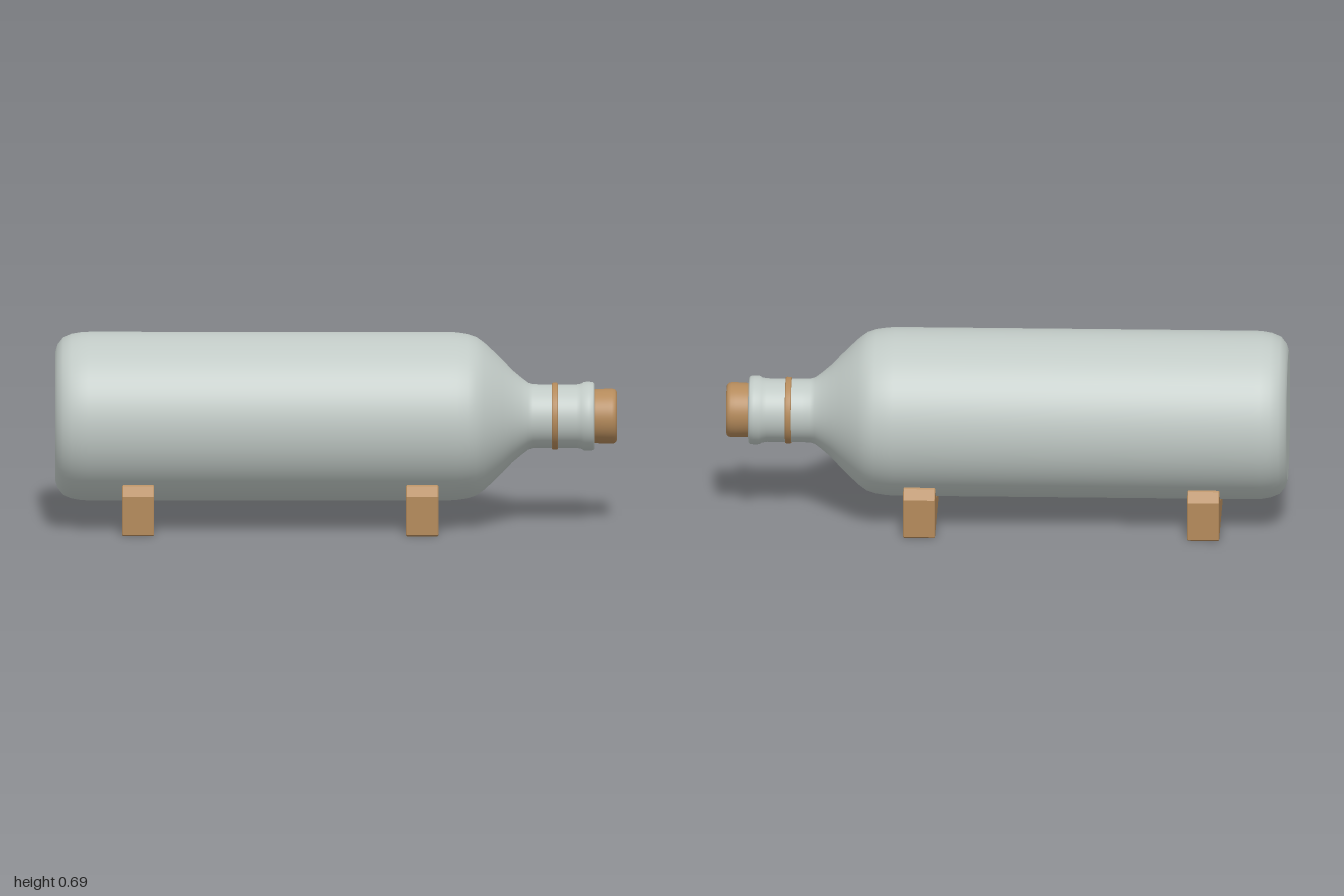
import * as THREE from 'three';

const AXIS_Y = 0.39; // height of the bottle's centre line

export function createModel() {
  const group = new THREE.Group();
  const glass = new THREE.MeshStandardMaterial({ color: 0xc0c9c5 });
  glass.name = 'paleGlass';
  const wood = new THREE.MeshStandardMaterial({ color: 0xb48a5b });
  wood.name = 'wood';

  const add = (name, geometry, material) => {
    const mesh = new THREE.Mesh(geometry, material);
    mesh.name = name;
    group.add(mesh);
    return mesh;
  };

  // Turned part lying along x; profile is [radius, x] from base to mouth
  const turned = (name, profile, material) => {
    const points = profile.map(([r, x]) => new THREE.Vector2(r, x));
    const geometry = new THREE.LatheGeometry(points, 72);
    geometry.rotateZ(-Math.PI / 2).translate(0, AXIS_Y, 0);
    return add(name, geometry, material);
  };

  // Bottle: flat base, rounded heel, long body, sloping shoulder, neck and lip
  turned('bottle', [
    [0, -1], [0.228, -1], [0.232, -0.999], [0.255, -0.992], [0.28, -0.972],
    [0.293, -0.94], [0.299, -0.905], [0.3, -0.88], [0.3, 0.4], [0.298, 0.43],
    [0.292, 0.47], [0.282, 0.5], [0.262, 0.528], [0.235, 0.557], [0.2, 0.593],
    [0.165, 0.626], [0.138, 0.658], [0.119, 0.683], [0.114, 0.7], [0.113, 0.73],
    [0.113, 0.855], [0.116, 0.872], [0.122, 0.882], [0.123, 0.9], [0.121, 0.914],
    [0.115, 0.92], [0.1, 0.92], [0.094, 0.915],
  ], glass);

  // Stopper with softened rims
  turned('stopper', [
    [0, 0.9], [0.095, 0.9], [0.096, 0.925], [0.098, 0.965], [0.098, 0.982],
    [0.096, 0.992], [0.09, 0.998], [0.084, 1], [0, 1],
  ], wood);

  // Thin band round the neck
  turned('neckBand', [
    [0.11, 0.768], [0.116, 0.768], [0.119, 0.772], [0.119, 0.786],
    [0.116, 0.79], [0.11, 0.79],
  ], wood);

  // Cradle outline: chamfered block with a round saddle cut out
  const saddle = 0.302, top = 0.18;
  const edge = Math.sqrt(saddle ** 2 - (AXIS_Y - top) ** 2);
  const angle = Math.atan2(top - AXIS_Y, edge);
  const outline = new THREE.Shape();
  outline.moveTo(-0.245, 0);
  outline.lineTo(0.245, 0);
  outline.lineTo(0.25, 0.005);
  outline.lineTo(0.25, 0.143);
  outline.lineTo(0.222, 0.176);
  outline.lineTo(edge, top);
  outline.absarc(0, AXIS_Y, saddle, angle, -Math.PI - angle, true);
  outline.lineTo(-0.222, 0.176);
  outline.lineTo(-0.25, 0.143);
  outline.lineTo(-0.25, 0.005);
  outline.closePath();

  const width = 0.114, bevel = 0.003;
  const block = new THREE.ExtrudeGeometry(outline, {
    depth: width - 2 * bevel, curveSegments: 24, bevelSegments: 1,
    bevelThickness: bevel, bevelSize: bevel, bevelOffset: -bevel,
  });
  block.translate(0, 0, bevel - width / 2).rotateY(Math.PI / 2);
  add('rearCradle', block, wood).position.x = -0.704;
  add('frontCradle', block, wood).position.x = 0.307;

  return group;
}
